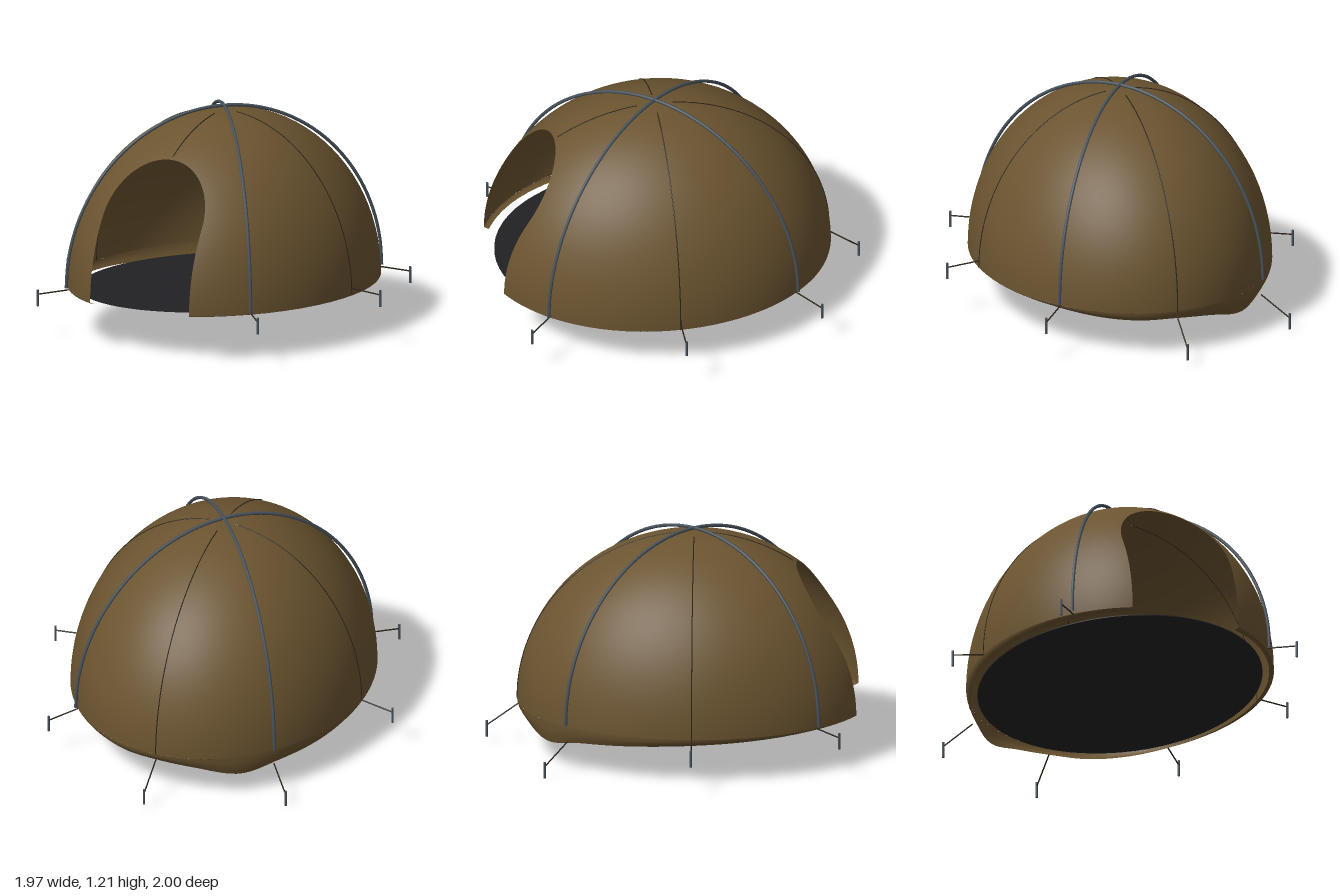
import * as THREE from 'three';

const C = new THREE.Vector3(0, 0.25, 0.12); // centre of the dome
const R = new THREE.Vector3(0.8, 0.93, 0.95); // radii of the dome

const fabric = new THREE.MeshStandardMaterial({ name: 'brown fabric', color: 0x6b5430, side: THREE.DoubleSide });
const floorMat = new THREE.MeshStandardMaterial({ name: 'black groundsheet', color: 0x222224 });
const poleMat = new THREE.MeshStandardMaterial({ name: 'grey metal', color: 0x47525b });
const cordMat = new THREE.MeshStandardMaterial({ name: 'dark cord', color: 0x2b2418 });

function add(parent, name, geometry, material) {
  const mesh = new THREE.Mesh(geometry, material);
  mesh.name = name;
  parent.add(mesh);
  return mesh;
}

// Surface from a grid of points; point(u, v) gives a Vector3
function gridSurface(nu, nv, point, normal) {
  const pos = [], nor = [], idx = [];
  for (let i = 0; i <= nu; i++) {
    for (let j = 0; j <= nv; j++) {
      const p = point(i / nu, j / nv);
      pos.push(p.x, p.y, p.z);
      if (normal) nor.push(...normal(p).toArray());
      if (i < nu && j < nv) {
        const a = i * (nv + 1) + j, b = a + nv + 1;
        idx.push(a, a + 1, b, b, a + 1, b + 1);
      }
    }
  }
  const g = new THREE.BufferGeometry();
  g.setAttribute('position', new THREE.Float32BufferAttribute(pos, 3));
  g.setIndex(idx);
  if (normal) g.setAttribute('normal', new THREE.Float32BufferAttribute(nor, 3));
  else g.computeVertexNormals();
  return g;
}

const domeNormal = (p) => p.clone().sub(C).divide(R).divide(R).normalize();

// Point on the dome at a bearing (0 = front, towards +x) and elevation
function domePoint(bearing, elevation, scale = 1) {
  const c = Math.cos(elevation);
  return new THREE.Vector3(Math.sin(bearing) * c, Math.sin(elevation), Math.cos(bearing) * c)
    .multiply(R).multiplyScalar(scale).add(C);
}

// Outline of the arched doorway, from its +x foot over the top to its -x foot
const DOOR = 0.31, SPRING = 0.7;
function doorway(u) {
  const leg = SPRING - C.y, arc = Math.PI * DOOR;
  const d = u * (2 * leg + arc);
  if (d < leg) return [DOOR, C.y + d];
  if (d > leg + arc) return [-DOOR, C.y + 2 * leg + arc - d];
  const a = (d - leg) / DOOR;
  return [DOOR * Math.cos(a), SPRING + DOOR * Math.sin(a)];
}

// Front half: fabric spread between the doorway and the widest rib
function frontPoint(u, v) {
  const [ax, ay] = doorway(u);
  const bx = R.x * Math.cos(u * Math.PI), by = C.y + R.y * Math.sin(u * Math.PI);
  const s = Math.sin(v * Math.PI / 2);
  const x = ax + (bx - ax) * s, y = ay + (by - ay) * s;
  const k = 1 - (x / R.x) ** 2 - ((y - C.y) / R.y) ** 2;
  return new THREE.Vector3(x, y, C.z + R.z * Math.sqrt(Math.max(0, k)));
}

// Uneven hem: bearing in degrees and height of the lower edge
const hem = new THREE.CatmullRomCurve3([
  [22.8, 0.24], [45, 0.245], [90, 0.245], [120, 0.235], [135, 0.225], [150, 0.21], [165, 0.2],
  [180, 0.2], [195, 0.18], [213, 0.13], [228, 0.165], [244, 0.185], [270, 0.21], [315, 0.235], [337.2, 0.24],
].map(([a, y]) => new THREE.Vector3(a / 100, y, 0)));

function hemPoint(u, v) {
  const h = hem.getPoint(u), a = THREE.MathUtils.degToRad(h.x * 100);
  const p = domePoint(a, 0, 1 - 0.03 * v * v);
  p.y = C.y + (h.y - C.y) * v;
  return p;
}

// Straight cord between two points
function cord(parent, name, from, to) {
  add(parent, name, new THREE.TubeGeometry(new THREE.LineCurve3(from, to), 1, 0.004, 5), cordMat);
}

export function createModel() {
  const tent = new THREE.Group();
  tent.name = 'domeTent';

  // Canopy
  const canopy = new THREE.Group();
  canopy.name = 'canopy';
  tent.add(canopy);
  add(canopy, 'frontCanopy', gridSurface(72, 16, frontPoint, domeNormal).scale(1, 1, 1), fabric);
  const back = new THREE.SphereGeometry(1, 48, 24, Math.PI, Math.PI, 0, Math.PI / 2);
  back.scale(R.x, R.y, R.z).translate(C.x, C.y, C.z);
  add(canopy, 'backCanopy', back, fabric);
  // Wound so that the outside is the front
  const skirt = gridSurface(96, 3, (u, v) => hemPoint(u, v));
  add(canopy, 'hem', skirt, fabric);

  // Groundsheet, lying on slightly sloping ground
  const floor = add(tent, 'groundsheet', new THREE.CylinderGeometry(1, 1, 0.006, 64), floorMat);
  floor.scale.set(0.745, 1, 0.865);
  floor.position.set(0, 0.228, C.z);
  floor.rotation.set(-0.025, 0, 0.025);

  // Two crossing poles
  for (const side of [1, -1]) {
    const points = [];
    for (let i = 0; i <= 24; i++) {
      const a = i / 24 * Math.PI;
      points.push(new THREE.Vector3(side * 0.578 * Math.cos(a), 0.26 + 0.943 * Math.sin(a), C.z + 0.68 * Math.cos(a)));
    }
    add(tent, side > 0 ? 'leftFrontPole' : 'rightFrontPole',
      new THREE.TubeGeometry(new THREE.CatmullRomCurve3(points), 64, 0.009, 8), poleMat);
  }

  // Seams: bearing and lowest elevation
  for (const [bearing, low] of [[0, 0.98], [90, 0], [180, 0], [270, 0]]) {
    const points = [];
    for (let i = 0; i <= 16; i++) {
      const e = THREE.MathUtils.lerp(low, 1.47, i / 16);
      points.push(domePoint(THREE.MathUtils.degToRad(bearing), e, 1.001));
    }
    add(tent, 'seam', new THREE.TubeGeometry(new THREE.CatmullRomCurve3(points), 32, 0.003, 5), cordMat);
  }

  // Guy lines and pegs: peg x, z, foot height, then the tie point
  const pegs = [
    [-0.98, 0.12, 0.15, -0.8, 0.25, 0.12],
    [0.98, 0.12, 0.21, 0.8, 0.29, 0.12],
    [-0.69, 0.91, 0.17, -0.57, 0.25, 0.79],
    [0.69, 0.91, 0.18, 0.57, 0.26, 0.79],
    [-0.69, -0.67, 0, -0.57, 0.17, -0.55],
    [0.69, -0.67, 0.15, 0.57, 0.25, -0.55],
    [0, -0.993, 0.03, 0, 0.22, -0.82],
  ];
  for (const [x, z, y, tx, ty, tz] of pegs) {
    const peg = add(tent, 'peg', new THREE.CylinderGeometry(0.007, 0.007, 0.09, 8), poleMat);
    peg.position.set(x, y + 0.045, z);
    cord(tent, 'guyLine', new THREE.Vector3(tx, ty, tz), new THREE.Vector3(x, y + 0.065, z));
  }
  return tent;
}
